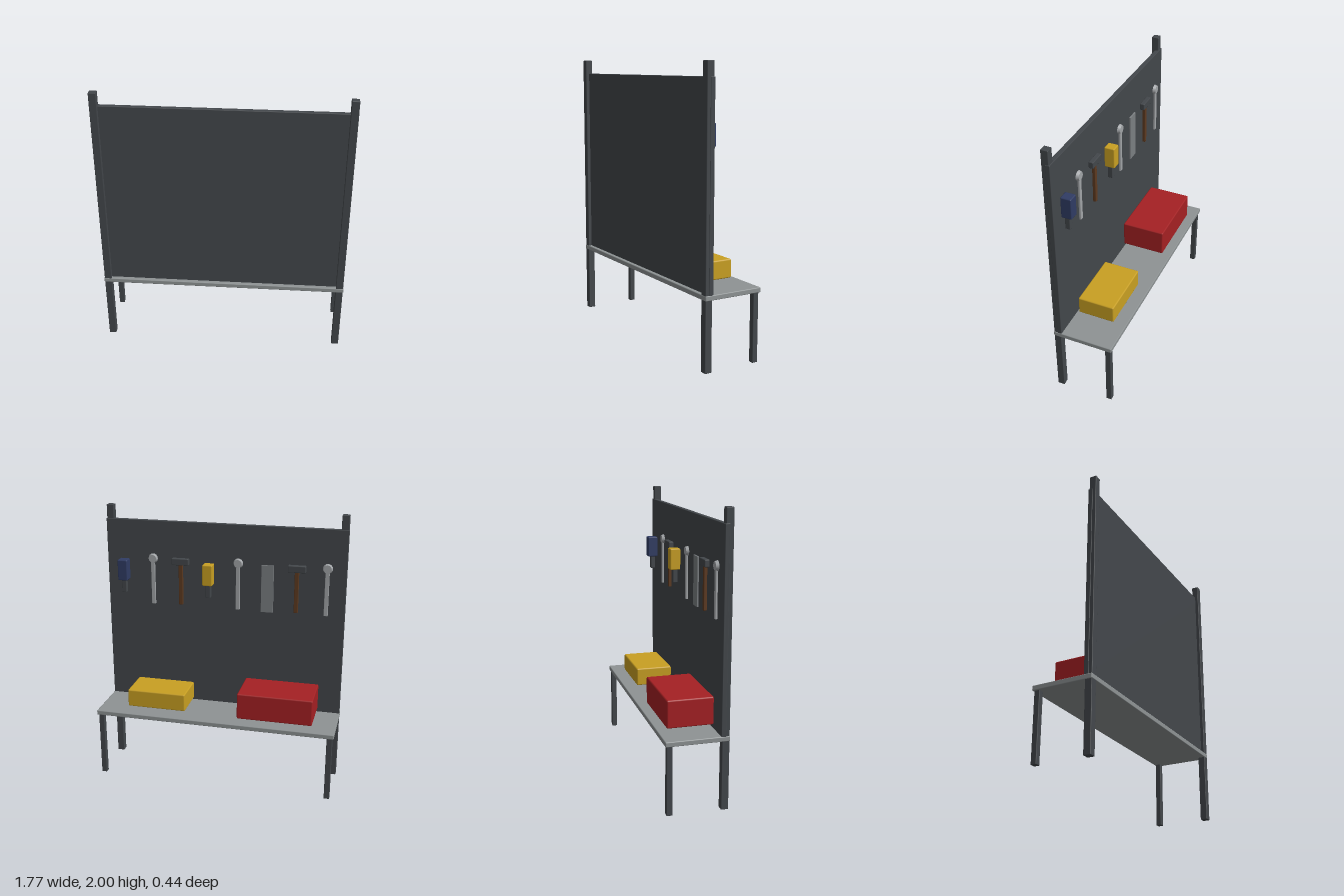
import * as THREE from 'three';
import { RoundedBoxGeometry } from 'three/addons/geometries/RoundedBoxGeometry.js';

function mat(name, color) {
  const m = new THREE.MeshStandardMaterial({ color });
  m.name = name;
  return m;
}

export function createModel() {
  const darkSteel = mat('dark steel', 0x43474b);
  const topSteel = mat('worktop steel', 0x8e9394);
  const red = mat('red', 0xa52023);
  const yellow = mat('yellow', 0xc9a022);
  const blue = mat('blue', 0x303c64);
  const brown = mat('wood brown', 0x5e3a20);
  const chrome = mat('bright steel', 0xa2a5a8);
  const blade = mat('blade steel', 0x7b7f82);

  const root = new THREE.Group();
  root.name = 'workbench';
  const BOARD = 0.157; // tool side of the panel

  // Bevelled box given by its limits on each axis
  function box(parent, name, material, [x0, x1], [y0, y1], [z0, z1], bevel = 0.004) {
    const mesh = new THREE.Mesh(
      new RoundedBoxGeometry(x1 - x0, y1 - y0, z1 - z0, 1, bevel), material);
    mesh.position.set((x0 + x1) / 2, (y0 + y1) / 2, (z0 + z1) / 2);
    mesh.name = name;
    parent.add(mesh);
    return mesh;
  }

  function toolGroup(name, x) {
    const g = new THREE.Group();
    g.name = name;
    g.position.x = x;
    root.add(g);
    return g;
  }

  // Bench, posts and back panel
  box(root, 'worktop', topSteel, [-0.887, 0.887], [0.485, 0.52], [-0.22, 0.217], 0.006);
  box(root, 'panel', darkSteel, [-0.885, 0.885], [0.515, 1.9], [BOARD, 0.19]);
  for (const side of [-1, 1]) {
    const cx = side * 0.856;
    box(root, 'post', darkSteel, [cx - 0.026, cx + 0.026], [0, 2], [0.164, 0.215]);
    box(root, 'leg', darkSteel, [cx - 0.02, cx + 0.02], [0, 0.49], [-0.209, -0.169]);
  }

  // Storage boxes on the worktop
  box(root, 'redBox', red, [-0.722, -0.173], [0.545, 0.74], [-0.165, 0.16], 0.01);
  box(root, 'yellowBox', yellow, [0.225, 0.665], [0.545, 0.677], [-0.138, 0.132], 0.01);

  // Power tool: coloured body with a dark grip
  function powerTool(x, material) {
    const g = toolGroup('powerTool', x);
    box(g, 'body', material, [-0.037, 0.037], [1.455, 1.61], [0.08, BOARD], 0.008);
    box(g, 'grip', darkSteel, [-0.018, 0.018], [1.358, 1.46], [0.106, 0.142], 0.005);
  }

  // Wrench: flat shaft with a round head
  function wrench(x) {
    const g = toolGroup('wrench', x);
    box(g, 'shaft', chrome, [-0.015, 0.015], [1.275, 1.61], [0.141, BOARD], 0.004);
    const head = new THREE.Mesh(new THREE.CylinderGeometry(0.029, 0.036, 0.02, 16), chrome);
    head.rotation.x = -Math.PI / 2;
    head.position.set(0, 1.62, 0.147);
    head.name = 'head';
    g.add(head);
  }

  // Hammer: wooden handle with a steel head
  function hammer(x) {
    const g = toolGroup('hammer', x);
    box(g, 'handle', brown, [-0.015, 0.015], [1.285, 1.6], [0.134, BOARD], 0.004);
    box(g, 'head', darkSteel, [-0.064, 0.064], [1.585, 1.635], [0.121, BOARD], 0.006);
  }

  powerTool(0.75, blue);
  powerTool(0.107, yellow);
  for (const x of [0.533, -0.107, -0.75]) wrench(x);
  for (const x of [0.32, -0.535]) hammer(x);
  box(toolGroup('saw', -0.323), 'blade', blade,
    [-0.045, 0.045], [1.27, 1.62], [0.145, BOARD], 0.002);

  return root;
}
